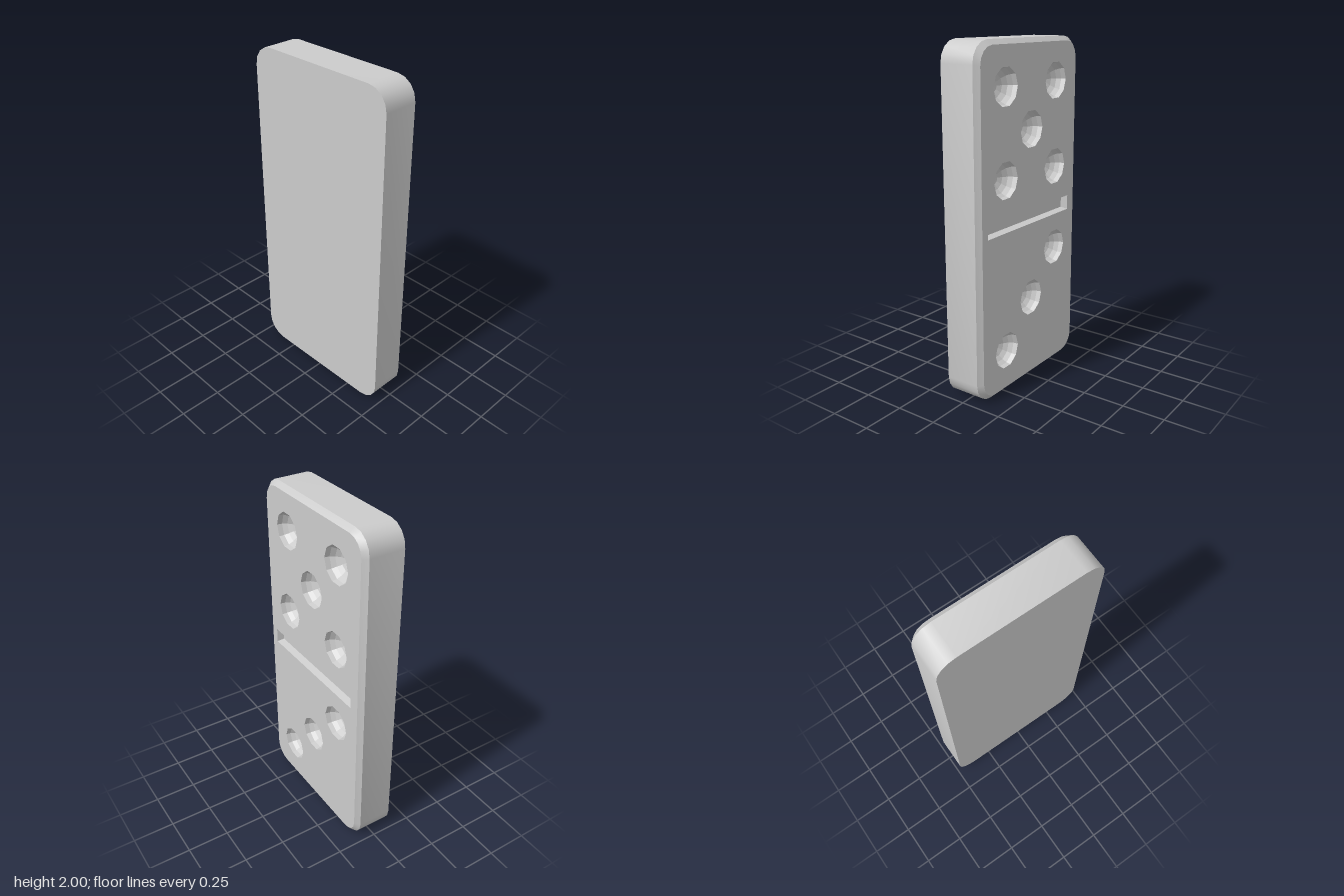
import * as THREE from 'three';
import { mergeGeometries, toCreasedNormals } from 'three/addons/utils/BufferGeometryUtils.js';

const BACK = -0.118, SHOULDER = 0.09, FACE = 0.118;   // depths along x
const CY = 1;                                         // middle of the tile

// Rounded rectangle loop, counter-clockwise, centred on the tile
function roundedLoop(halfW, halfH, r, steps = 4) {
  const pts = [];
  [[1, 1], [-1, 1], [-1, -1], [1, -1]].forEach(([sx, sy], q) => {
    for (let i = 0; i <= steps; i++) {
      const a = (q + i / steps) * Math.PI / 2;
      pts.push(new THREE.Vector2(sx * (halfW - r) + r * Math.cos(a), CY + sy * (halfH - r) + r * Math.sin(a)));
    }
  });
  return pts;
}

function circleLoop(u, v, r, n = 10) {
  return Array.from({ length: n }, (_, i) => {
    const a = i / n * Math.PI * 2;
    return new THREE.Vector2(u + r * Math.cos(a), v + r * Math.sin(a));
  });
}

function rectLoop(u0, u1, v0, v1) {
  return [[u0, v0], [u1, v0], [u1, v1], [u0, v1]].map(([u, v]) => new THREE.Vector2(u, v));
}

// Skin between successive loops, each { pts, d } at depth d
function loft(rings) {
  const pos = [];
  for (let k = 0; k < rings.length - 1; k++) {
    const a = rings[k], b = rings[k + 1], n = a.pts.length;
    const put = (ring, i) => pos.push(ring.pts[i].x, ring.pts[i].y, ring.d);
    for (let i = 0; i < n; i++) {
      const j = (i + 1) % n;
      put(a, i); put(a, j); put(b, j);
      put(a, i); put(b, j); put(b, i);
    }
  }
  const g = new THREE.BufferGeometry();
  g.setAttribute('position', new THREE.Float32BufferAttribute(pos, 3));
  g.computeVertexNormals();
  return g;
}

// Flat cap facing +depth, or the other way when flipped
function cap(pts, d, holes = [], flip = false) {
  const shape = new THREE.Shape(pts);
  shape.holes = holes.map(h => new THREE.Path(h));
  let g = new THREE.ShapeGeometry(shape).toNonIndexed();
  if (flip) {
    const p = g.attributes.position;
    for (let i = 0; i < p.count; i += 3) {
      const x = p.getX(i), y = p.getY(i);
      p.setXY(i, p.getX(i + 1), p.getY(i + 1));
      p.setXY(i + 1, x, y);
    }
  }
  g.deleteAttribute('uv');
  g.translate(0, 0, d);
  g.computeVertexNormals();
  return g;
}

export function createModel() {
  const model = new THREE.Group();
  const material = new THREE.MeshStandardMaterial({ color: 0xcccccc });
  const add = (name, geometry) => {
    const mesh = new THREE.Mesh(geometry.rotateY(Math.PI / 2), material); // depth becomes +x
    mesh.name = name;
    model.add(mesh);
  };

  const pipR = 0.107, pipDepth = 0.09;
  const pips = [
    [-0.24, 1.755], [0.24, 1.755], [0, 1.505], [-0.24, 1.255], [0.24, 1.255], // upper five
    [0.245, 0.755], [0.003, 0.505], [-0.237, 0.255],                          // lower three
  ];
  const slotRim = rectLoop(-0.405, 0.39, 0.96, 1.047);
  const slotFloor = rectLoop(-0.395, 0.38, 0.97, 1.038);

  // Tile body with chamfered face edge
  const outer = roundedLoop(0.48, 1, 0.12);
  const inner = roundedLoop(0.453, 0.973, 0.1);
  add('tileSides', toCreasedNormals(loft([{ pts: outer, d: BACK }, { pts: outer, d: SHOULDER }]), 0.6));
  add('chamfer', toCreasedNormals(loft([{ pts: outer, d: SHOULDER }, { pts: inner, d: FACE }]), 0.6));
  add('back', cap(outer, BACK, [], true));
  add('face', cap(inner, FACE, [...pips.map(([u, v]) => circleLoop(u, v, pipR)), slotRim]));

  // Hollow pips, faceted bowls
  pips.forEach(([u, v], i) => {
    const rings = [];
    for (let k = 0; k <= 5; k++) {
      const a = k / 5 * Math.PI / 2;
      rings.push({ pts: circleLoop(u, v, k === 5 ? 0 : pipR * Math.cos(a)), d: FACE - pipDepth * Math.sin(a) });
    }
    add('pip' + (i + 1), loft(rings));
  });

  // Dividing groove
  const grooveD = FACE - 0.04;
  add('groove', mergeGeometries([
    loft([{ pts: slotRim, d: FACE }, { pts: slotFloor, d: grooveD }]),
    cap(slotFloor, grooveD),
  ]));

  return model;
}
